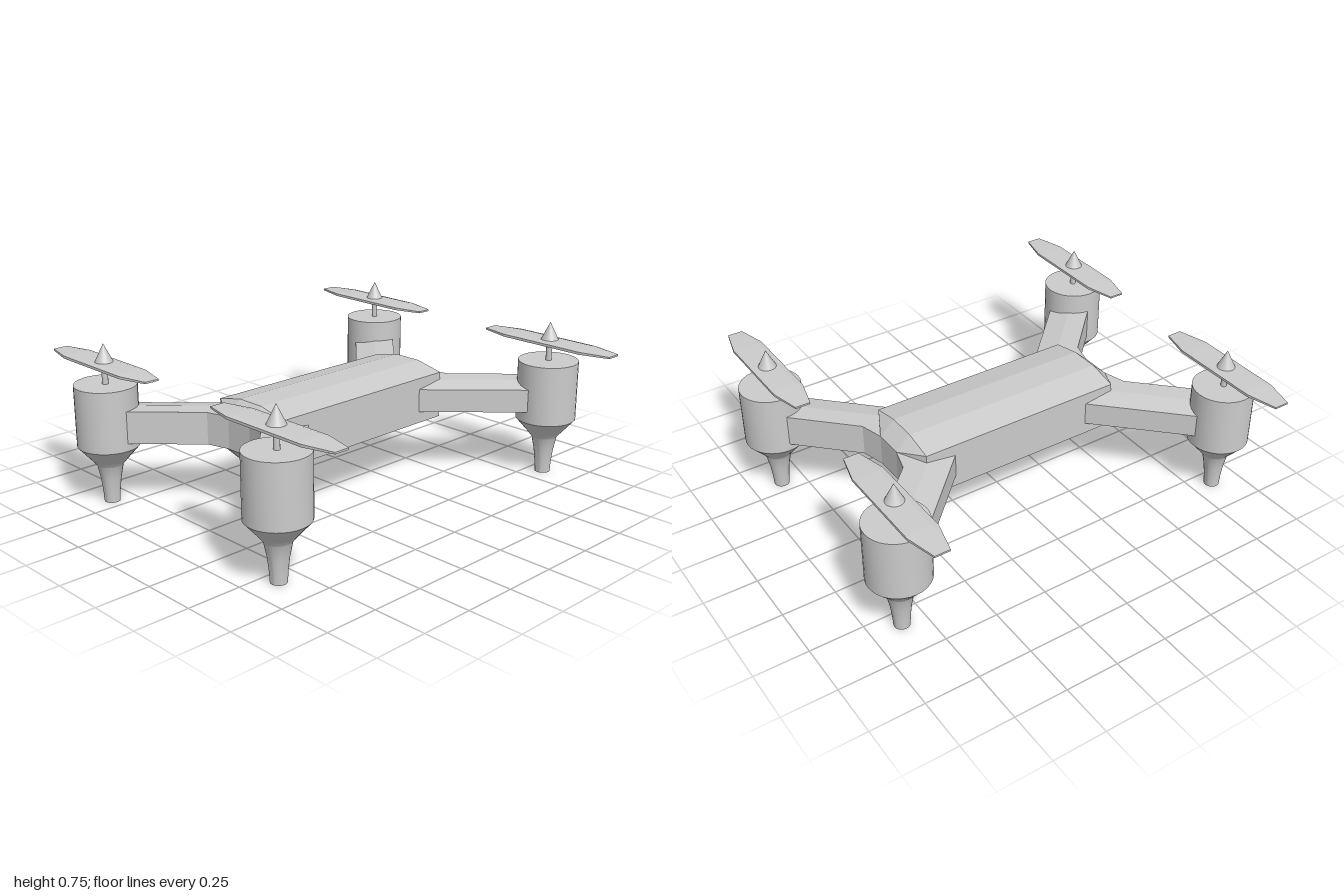
import * as THREE from 'three';
import { ConvexGeometry } from 'three/addons/geometries/ConvexGeometry.js';
import { toCreasedNormals } from 'three/addons/utils/BufferGeometryUtils.js';

const material = new THREE.MeshStandardMaterial({ color: 0xcccccc });

function add(parent, name, geometry, x = 0, y = 0, z = 0) {
  const mesh = new THREE.Mesh(geometry, material);
  mesh.name = name;
  mesh.position.set(x, y, z);
  parent.add(mesh);
  return mesh;
}

// Faceted convex solid from corner points, mirrored by sx and sz
function hull(points, sx = 1, sz = 1) {
  return new ConvexGeometry(points.map(([x, y, z]) => new THREE.Vector3(x * sx, y, z * sz)));
}

function lathe(profile, segments) {
  const points = profile.map(([r, y]) => new THREE.Vector2(r, y));
  return toCreasedNormals(new THREE.LatheGeometry(points, segments), 0.5);
}

// Chamfered fuselage with tapered ends
function bodyGeometry() {
  const points = [];
  for (const sx of [-1, 1]) for (const sz of [-1, 1]) {
    for (const [x, y, z] of [
      [0.5, 0.525, 0.07], [0.5, 0.495, 0.21], [0.5, 0.275, 0.21], [0.5, 0.24, 0.07],
      [0.57, 0.46, 0.07], [0.57, 0.31, 0.07],
    ]) points.push([x * sx, y, z * sz]);
  }
  return hull(points);
}

// Thin blade, wide in the middle and tapering to both tips
function propellerGeometry() {
  const points = [];
  for (const s of [-1, 1]) for (const t of [-1, 1]) {
    for (const [x, y, z] of [
      [0.07, 0.006, 0.215], [0.045, 0.012, 0.2], [0.035, 0.004, 0.355],
    ]) points.push([x * s, y, z * t], [x * s, -y, z * t]);
  }
  return hull(points);
}

export function createModel() {
  const model = new THREE.Group();
  model.name = 'quadcopter';
  add(model, 'body', bodyGeometry());

  const MX = 0.857, MZ = 0.573;
  const levels = (x, z, low, high) => [[x, low, z], [x, high, z]];

  // Arm: flat outer half, inner half sloping to a thinner edge
  const arm = [
    ...levels(0.60, 0.18, 0.31, 0.46), ...levels(MX + 0.068, MZ - 0.068, 0.31, 0.46),
    ...levels(0.45, 0.165, 0.31, 0.46), ...levels(MX, MZ, 0.31, 0.46),
    ...levels(0.30, 0.155, 0.33, 0.44), ...levels(MX - 0.07, MZ + 0.07, 0.33, 0.44),
  ];
  // Fillet between the arm and the end of the body
  const root = [
    ...levels(0.57, 0.07, 0.31, 0.46), ...levels(0.60, 0.18, 0.31, 0.46),
    ...levels(0.5, 0.213, 0.31, 0.46), ...levels(0.5, 0.07, 0.31, 0.46),
  ];
  // Motor housing narrowing into the landing foot
  const motor = lathe([
    [0, 0], [0.036, 0], [0.039, 0.05], [0.046, 0.11], [0.06, 0.18], [0.085, 0.21],
    [0.142, 0.275], [0.142, 0.56], [0, 0.56],
  ], 32);
  const shaft = new THREE.CylinderGeometry(0.014, 0.014, 0.1, 12);
  const spinner = lathe([[0, 0], [0.042, 0], [0, 0.085]], 20);
  const propeller = propellerGeometry();

  for (const sx of [-1, 1]) for (const sz of [-1, 1]) {
    const rotorUnit = new THREE.Group();
    rotorUnit.name = (sz > 0 ? 'front' : 'back') + (sx > 0 ? 'Left' : 'Right') + 'Rotor';
    model.add(rotorUnit);
    const x = MX * sx, z = MZ * sz;
    add(rotorUnit, 'arm', hull(arm, sx, sz));
    add(rotorUnit, 'armRoot', hull(root, sx, sz));
    add(rotorUnit, 'motor', motor, x, 0, z);
    add(rotorUnit, 'shaft', shaft, x, 0.6, z);
    add(rotorUnit, 'propeller', propeller, x, 0.65, z);
    add(rotorUnit, 'spinner', spinner, x, 0.66, z);
  }
  return model;
}
